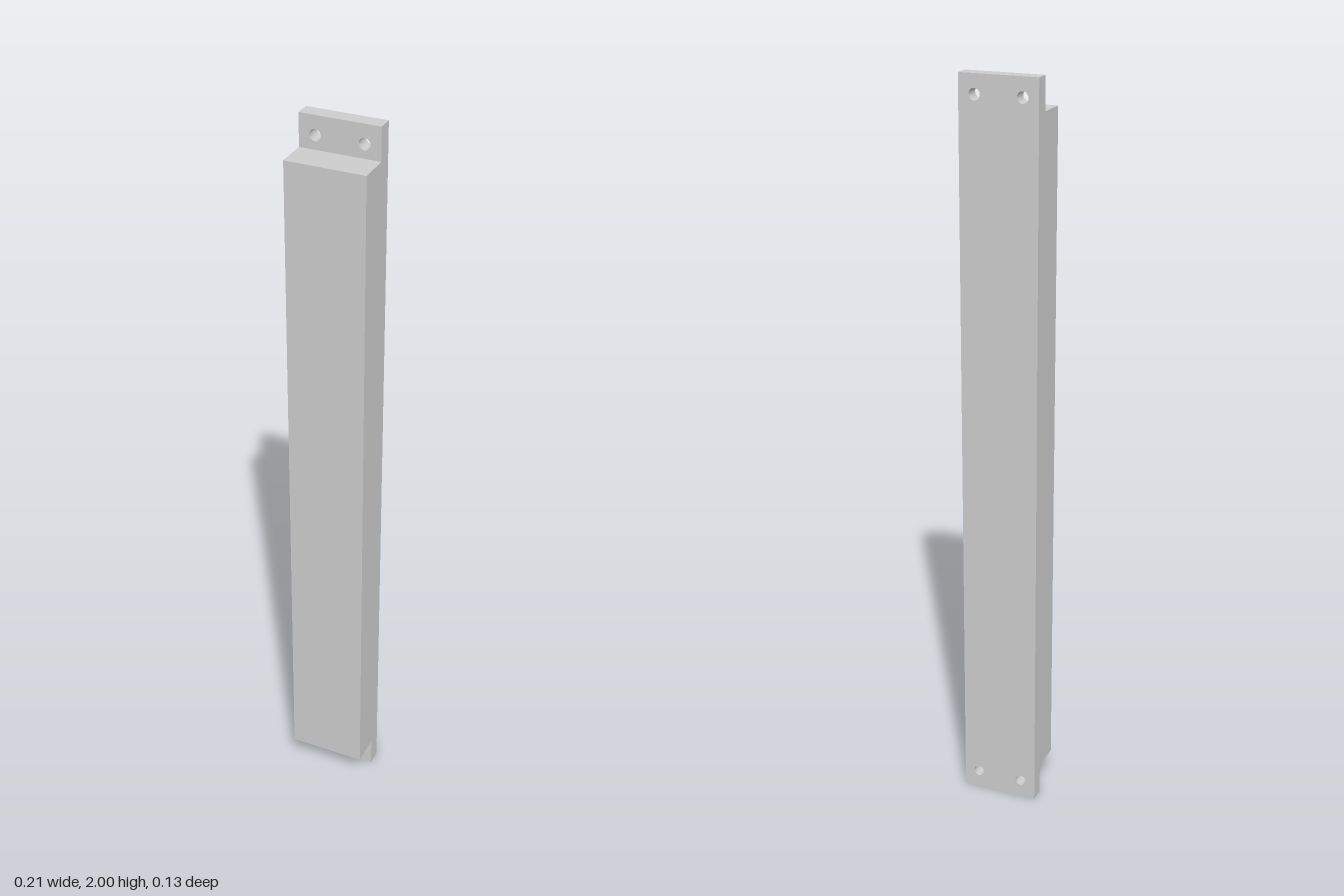
import * as THREE from 'three';

export function createModel() {
  const group = new THREE.Group();
  const material = new THREE.MeshStandardMaterial({ color: 0xcccccc, flatShading: true });
  const width = 0.21, height = 2, back = -0.063, step = -0.022, front = 0.063;
  const tab = 0.086; // height of the exposed mounting tab at each end

  // Full-height back plate with a pair of screw holes at each end
  const outline = new THREE.Shape();
  outline.moveTo(-width / 2, 0);
  outline.lineTo(width / 2, 0);
  outline.lineTo(width / 2, height);
  outline.lineTo(-width / 2, height);
  outline.closePath();
  for (const x of [-0.063, 0.063]) {
    for (const y of [0.05, height - 0.05]) {
      const hole = new THREE.Path();
      hole.absarc(x, y, 0.015, 0, Math.PI * 2, true);
      outline.holes.push(hole);
    }
  }
  const plateGeometry = new THREE.ExtrudeGeometry(outline, {
    depth: step - back, bevelEnabled: false, curveSegments: 24,
  });
  const plate = new THREE.Mesh(plateGeometry, material);
  plate.name = 'mountingPlate';
  plate.position.z = back;
  group.add(plate);

  // Thick front block, stopping short of both tabs
  const block = new THREE.Mesh(
    new THREE.BoxGeometry(width, height - 2 * tab, front - step), material);
  block.name = 'frontBlock';
  block.position.set(0, height / 2, (front + step) / 2);
  group.add(block);

  return group;
}
